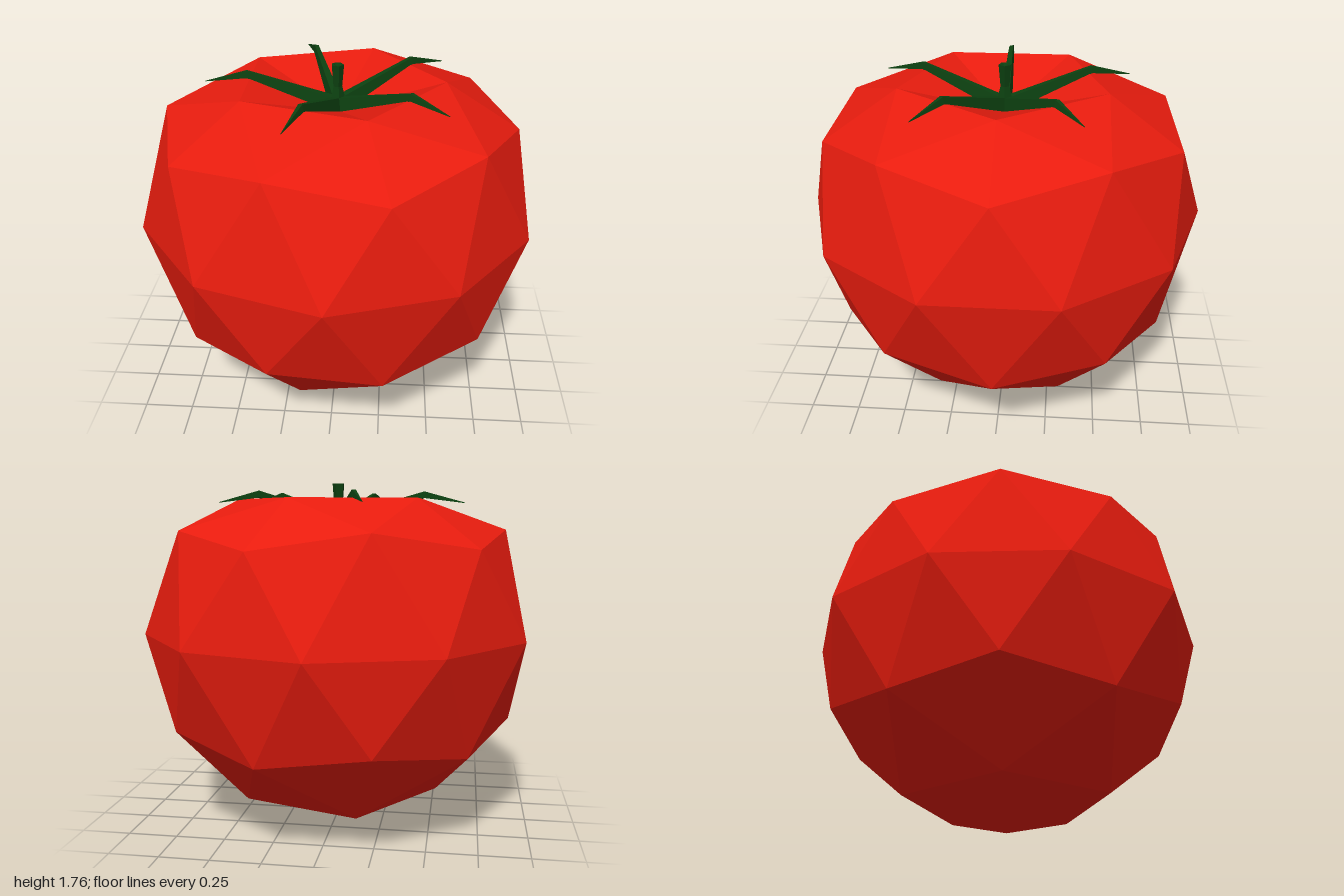
import * as THREE from 'three';

const RED = new THREE.MeshStandardMaterial({ color: 0xe81c0e, flatShading: true });
const GREEN = new THREE.MeshStandardMaterial({ color: 0x0c4010, flatShading: true });

function makeMesh(name, geometry, material) {
  const mesh = new THREE.Mesh(geometry, material);
  mesh.name = name;
  return mesh;
}

// Faceted ball standing on a vertex, with its crown flattened and dented
function fruitGeometry() {
  const geo = new THREE.IcosahedronGeometry(1, 1);
  geo.rotateZ(-Math.atan(2 / (1 + Math.sqrt(5))));
  const pos = geo.attributes.position;
  for (let i = 0; i < pos.count; i++) {
    const y = pos.getY(i);
    if (y > 0.95) pos.setY(i, 0.52);
    else if (y > 0.75) pos.setY(i, 0.68);
  }
  geo.translate(0, 1, 0);
  geo.computeVertexNormals();
  return geo;
}

// Arched leaf along +x, lofted through four-cornered sections
function sepalGeometry() {
  // distance from the axis, top y, bottom y, half width
  const sections = [
    [0.0, 1.59, 1.52, 0.034],
    [0.44, 1.716, 1.683, 0.016],
    [0.645, 1.66, 1.657, 0.001],
  ];
  const positions = [];
  const index = [];
  for (const [x, top, bottom, w] of sections) {
    positions.push(x, top, -w * 0.6, x, top, w * 0.6, x, bottom, w, x, bottom, -w);
  }
  for (let s = 0; s < sections.length - 1; s++) {
    for (let k = 0; k < 4; k++) {
      const a = s * 4 + k;
      const b = s * 4 + ((k + 1) % 4);
      index.push(a, b, b + 4, a, b + 4, a + 4);
    }
  }
  index.push(0, 2, 1, 0, 3, 2, 8, 9, 10, 8, 10, 11);
  const geo = new THREE.BufferGeometry();
  geo.setAttribute('position', new THREE.Float32BufferAttribute(positions, 3));
  geo.setIndex(index);
  geo.computeVertexNormals();
  return geo;
}

export function createModel() {
  const model = new THREE.Group();
  model.name = 'tomato';
  model.add(makeMesh('fruit', fruitGeometry(), RED));

  // Five sepals around the stem
  const calyx = new THREE.Group();
  calyx.name = 'calyx';
  const sepal = sepalGeometry();
  for (let i = 0; i < 5; i++) {
    const leaf = makeMesh('sepal', sepal, GREEN);
    leaf.rotation.y = Math.PI + (i * Math.PI * 2) / 5;
    calyx.add(leaf);
  }

  // Five-sided stem, flared at its cut end
  const profile = [
    [0.045, 1.5], [0.042, 1.57], [0.023, 1.65], [0.032, 1.757], [0.02, 1.757], [0, 1.745],
  ].map(([r, y]) => new THREE.Vector2(r, y));
  const stem = makeMesh('stem', new THREE.LatheGeometry(profile, 5), GREEN);
  stem.rotation.y = Math.PI / 2;
  calyx.add(stem);

  model.add(calyx);
  return model;
}
